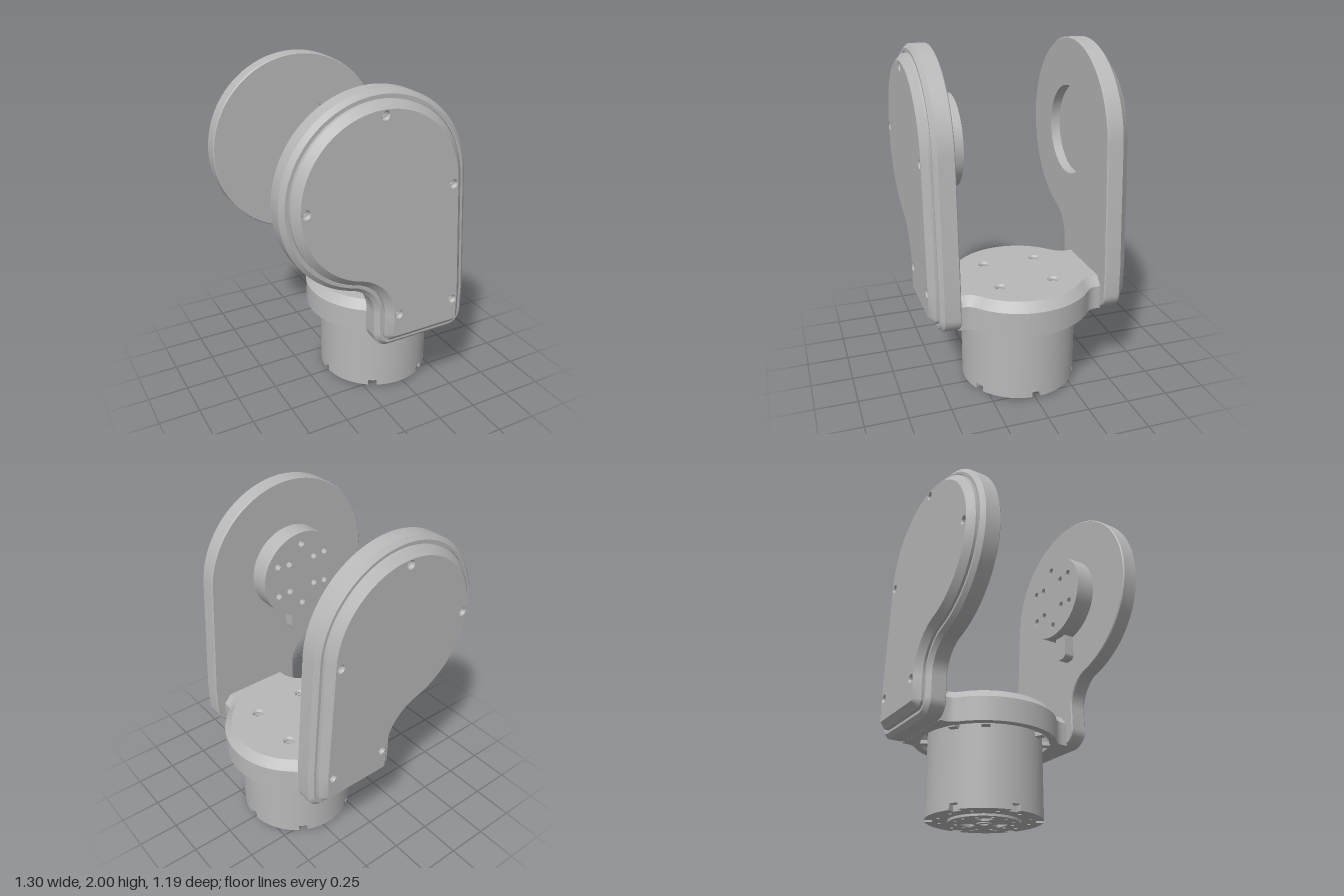
import * as THREE from 'three';
import { mergeGeometries, toCreasedNormals } from 'three/addons/utils/BufferGeometryUtils.js';

const DEG = Math.PI / 180;
const AXIS = { x: -0.09, y: 1.44 }; // pivot axis of the two arms
const BASE_X = 0.215;               // vertical axis of the motor

// Points along an arc, angles in degrees
function arc(cx, cy, r, from, to, n) {
  return Array.from({ length: n + 1 }, (_, i) => {
    const a = (from + (to - from) * i / n) * DEG;
    return new THREE.Vector2(cx + r * Math.cos(a), cy + r * Math.sin(a));
  });
}

// Teardrop outline of an arm, moved inward by d
const armOutline = d => [
  ...arc(0.415, 0.58, 0.1 - d, -90, 0, 10),
  new THREE.Vector2(0.515 - d, 0.75),
  ...arc(AXIS.x, AXIS.y, 0.56 - d, 3.7, 254.7, 72),
  ...arc(-0.29, 0.707, 0.2 + d, 74.7, 0, 16),
  ...arc(0.01, 0.58, 0.1 - d, 180, 270, 10),
];

// Round cradle outline with a neck at each end, moved inward by d
function cradleOutline(d) {
  const half = [
    ...arc(0, 0, 0.435 - d, -50.6, 50.6, 36),
    ...arc(0.333, 0.406, 0.09 + d, 230.6, 180, 8),
    new THREE.Vector2(0.243 - d, 0.435),
    new THREE.Vector2(-0.243 + d, 0.435),
    ...arc(-0.333, 0.406, 0.09 + d, 0, -50.6, 8),
  ];
  return [...half, ...half.map(p => p.clone().negate())];
}

function plain(geometry) {
  const g = geometry.index ? geometry.toNonIndexed() : geometry;
  g.deleteAttribute('uv');
  g.deleteAttribute('normal');
  return g;
}

// Reverse the corner order of every triangle
function flip(g) {
  const a = g.attributes.position.array;
  for (let i = 0; i < a.length; i += 9) {
    for (let k = 0; k < 3; k++) [a[i + 3 + k], a[i + 6 + k]] = [a[i + 6 + k], a[i + 3 + k]];
  }
  return g;
}

const mirrorZ = g => flip(g.scale(1, 1, -1));
const join = list => mergeGeometries(list.map(plain));

function addHoles(shape, holes) {
  for (const [x, y, r] of holes) shape.holes.push(new THREE.Path().absarc(x, y, r, 0, Math.PI * 2, true));
  return shape;
}

function cap(points, z, holes, down) {
  const g = plain(new THREE.ShapeGeometry(addHoles(new THREE.Shape(points), holes), 24)).translate(0, 0, z);
  return down ? flip(g) : g;
}

// Solid through offset outlines at [z, inset] layers, with optional holes in both caps
function loft(outline, layers, topHoles = [], bottomHoles = []) {
  const rings = layers.map(([, d]) => outline(d));
  const n = rings[0].length, pos = [], index = [];
  rings.forEach((ring, i) => ring.forEach(p => pos.push(p.x, p.y, layers[i][0])));
  for (let i = 0; i < rings.length - 1; i++) {
    for (let j = 0; j < n; j++) {
      const a = i * n + j, b = i * n + (j + 1) % n;
      index.push(a, b, b + n, a, b + n, a + n);
    }
  }
  const wall = new THREE.BufferGeometry();
  wall.setAttribute('position', new THREE.Float32BufferAttribute(pos, 3));
  wall.setIndex(index);
  const last = rings.length - 1;
  return join([wall, cap(rings[0], layers[0][0], bottomHoles, true), cap(rings[last], layers[last][0], topHoles, false)]);
}

// Turned recess opening toward +z
const pocket = (profile, x, y, z) =>
  new THREE.LatheGeometry(profile.map(p => new THREE.Vector2(...p)), 48).rotateX(Math.PI / 2).translate(x, y, z);

// Countersunk screw seat with a socket
const screwSeat = (r, x, y, z) => pocket(
  [[r, 0], [r * 0.72, -0.012], [r * 0.72, -0.024], [r * 0.4, -0.024], [r * 0.4, -0.034], [0, -0.034]], x, y, z);

// Straight plate with through holes
const plate = (shape, depth) =>
  new THREE.ExtrudeGeometry(shape, { depth, bevelEnabled: false, curveSegments: 24 });

const ringHoles = (count, radius, r, start = 0) =>
  arc(0, 0, radius, start, start + 360, count).slice(0, count).map(p => [p.x, p.y, r]);

// One arm on the +z side; the inner face may carry a round recess
function armGeometry(recessed) {
  const layers = [[0.43, 0.006], [0.436, 0], [0.525, 0], [0.548, 0.026], [0.548, 0.042],
    [0.54, 0.042], [0.54, 0.05], [0.56, 0.05], [0.597, 0.09]];
  const screws = [[-0.09, 1.88], [-0.53, 1.44], [0.35, 1.44], [0.03, 0.71], [0.395, 0.71]];
  const parts = [
    loft(armOutline, layers, screws.map(([x, y]) => [x, y, 0.026]), recessed ? [[AXIS.x, AXIS.y, 0.273]] : []),
    ...screws.map(([x, y]) => screwSeat(0.026, x, y, 0.597)),
  ];
  if (recessed) {
    parts.push(mirrorZ(plain(pocket([[0.273, 0], [0.273, -0.06], [0, -0.06]], AXIS.x, AXIS.y, -0.43))));
  }
  return join(parts);
}

export function createModel() {
  const model = new THREE.Group();
  const grey = new THREE.MeshStandardMaterial({ color: 0xb8b8b8 });
  grey.name = 'machined grey';
  const add = (name, geometry, parent = model) => {
    const mesh = new THREE.Mesh(toCreasedNormals(plain(geometry), 0.45), grey);
    mesh.name = name;
    parent.add(mesh);
    return mesh;
  };

  // Arms
  add('frontArm', armGeometry(false));
  add('backArm', mirrorZ(armGeometry(true)));

  // Output disc on the inside of the front arm
  const disc = addHoles(new THREE.Shape(arc(0, 0, 0.273, 0, 360, 96).slice(0, 96)),
    [...ringHoles(4, 0.13, 0.02, 45), ...ringHoles(6, 0.2, 0.02, 30)]);
  add('outputDisc', plate(disc, 0.125).translate(AXIS.x, AXIS.y, 0.31));

  // Rounded cable tab below the disc
  const tab = new THREE.Shape([
    new THREE.Vector2(0.045, 1.25), new THREE.Vector2(-0.045, 1.25),
    ...arc(-0.015, 1.045, 0.03, 180, 270, 6), ...arc(0.015, 1.045, 0.03, 270, 360, 6),
  ]);
  add('cableTab', plate(tab, 0.07).translate(AXIS.x, 0, 0.366));

  // Cradle joining the arms, hollow below
  const base = new THREE.Group();
  base.name = 'base';
  base.position.x = BASE_X;
  model.add(base);
  const seats = [-0.163, 0.163].flatMap(x => [-0.163, 0.163].map(z => [x, z, 0.036]));
  const hollow = mirrorZ(plain(pocket([[0.388, 0], [0.388, -0.1], [0, -0.1]], 0, 0, -0.48)));
  add('cradle', join([
    loft(cradleOutline, [[0.48, 0], [0.623, 0], [0.675, 0.045]], seats, [[0, 0, 0.388]]),
    ...seats.map(([x, y, r]) => screwSeat(r, x, y, 0.675)),
    hollow,
  ]).rotateX(-Math.PI / 2), base);

  // Motor housing
  add('motorHousing', new THREE.CylinderGeometry(0.345, 0.345, 0.526, 96).translate(0, 0.317, 0), base);

  // Bottom flange with six edge notches and a ring of holes
  const rim = [];
  for (let k = 0; k < 6; k++) {
    rim.push(...arc(0, 0, 0.345, k * 60 + 4.5, k * 60 + 55.5, 14));
    rim.push(...arc(0, 0, 0.3, k * 60 + 54.8, k * 60 + 65.2, 2));
  }
  const flange = addHoles(new THREE.Shape(rim), [[0, 0, 0.215], ...ringHoles(12, 0.272, 0.012, 15)]);
  add('bottomFlange', plate(flange, 0.036).rotateX(-Math.PI / 2).translate(0, 0.018, 0), base);

  // Rotor face with three windows, small holes and a hub
  const rotor = addHoles(new THREE.Shape(arc(0, 0, 0.209, 0, 360, 72).slice(0, 72)),
    [[0, 0, 0.025], ...ringHoles(12, 0.172, 0.012, 15)]);
  for (let k = 0; k < 3; k++) {
    const a = k * 120 + 30;
    rotor.holes.push(new THREE.Path([...arc(0, 0, 0.14, a - 24, a + 24, 8), ...arc(0, 0, 0.07, a + 14, a - 14, 3)]));
  }
  add('rotorFace', plate(rotor, 0.03).rotateX(-Math.PI / 2).translate(0, 0.006, 0), base);
  const hub = addHoles(new THREE.Shape(arc(0, 0, 0.045, 0, 360, 36).slice(0, 36)), [[0, 0, 0.025]]);
  add('rotorHub', plate(hub, 0.03).rotateX(-Math.PI / 2), base);

  // Small clips where the housing enters the cradle
  for (const a of [30, 60, 120, 150, 210, 240, 300, 330]) {
    const clip = new THREE.BoxGeometry(0.05, 0.024, 0.05).translate(0.365, 0.484, 0).rotateY(a * DEG);
    add('housingClip', clip, base);
  }
  return model;
}
